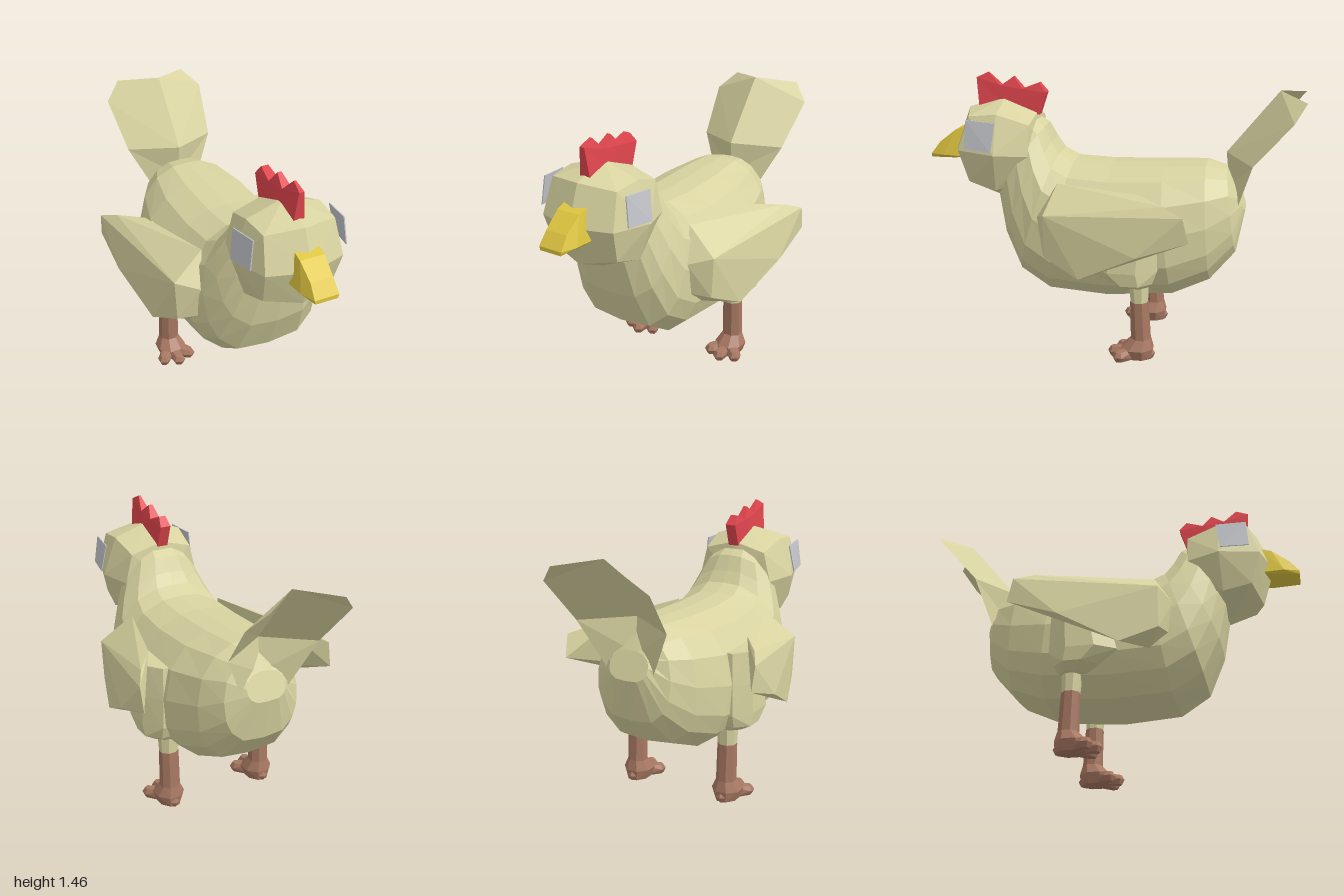
import * as THREE from 'three';
import { ConvexGeometry } from 'three/addons/geometries/ConvexGeometry.js';

const material = (name, color, side = THREE.FrontSide) => {
  const m = new THREE.MeshStandardMaterial({ color, side });
  m.name = name;
  return m;
};

export function createModel() {
  const plumage = material('plumage', 0xd8d3a0, THREE.DoubleSide);
  const red = material('combRed', 0xe2464e);
  const yellow = material('beakYellow', 0xdec53f);
  const brown = material('legBrown', 0xa87862);
  const gray = material('eyeGray', 0xc4c5ca);

  const model = new THREE.Group();
  model.name = 'hen';
  const add = (name, geometry, mat) => {
    const mesh = new THREE.Mesh(geometry, mat);
    mesh.name = name;
    model.add(mesh);
  };

  // Faceted solid around a few corner points, optionally mirrored in x
  const hull = (pts, s = 1) =>
    new ConvexGeometry(pts.map(([x, y, z]) => new THREE.Vector3(x * s, y, z)));
  const bothSides = (pts) => pts.flatMap(([x, y, z]) => (x ? [[x, y, z], [-x, y, z]] : [[x, y, z]]));
  const facets = (tris) => {
    const g = new THREE.BufferGeometry();
    g.setAttribute('position', new THREE.Float32BufferAttribute(tris.flat(2), 3));
    g.computeVertexNormals();
    return g;
  };
  const ring = (y, cx, cz, rx, rz, n = 8) =>
    Array.from({ length: n }, (_, i) => {
      const a = ((i + 0.5) / n) * Math.PI * 2;
      return [cx + Math.cos(a) * rx, y, cz + Math.sin(a) * rz];
    });

  // Body and neck: tilted rings, each [top z, top y, bottom z, bottom y, half width]
  const sections = [
    [-0.655, 0.92, -0.71, 0.78, 0.11],
    [-0.61, 1.0, -0.67, 0.56, 0.21],
    [-0.5, 1.03, -0.54, 0.41, 0.29],
    [-0.28, 1.02, -0.35, 0.33, 0.355],
    [0, 1.01, 0, 0.3, 0.36],
    [0.2, 1.02, 0.32, 0.32, 0.345],
    [0.28, 1.06, 0.48, 0.42, 0.325],
    [0.32, 1.12, 0.57, 0.62, 0.28],
    [0.36, 1.2, 0.61, 0.82, 0.225],
    [0.42, 1.24, 0.6, 0.92, 0.18],
  ];
  const half = [[0.3, 0.98], [0.64, 0.82], [0.9, 0.5], [1, 0.05], [0.97, -0.4], [0.84, -0.7], [0.54, -0.95]];
  const outline = [[0, 1], ...half, [0, -1], ...half.map(([x, y]) => [-x, y]).reverse()];
  const rings = sections.map(([tz, ty, bz, by, w]) =>
    outline.map(([px, py]) => {
      const t = (1 - py) / 2;
      return [px * w, ty + (by - ty) * t, tz + (bz - tz) * t];
    }));
  const skin = [];
  const n = outline.length;
  for (let i = 0; i < rings.length - 1; i++) {
    for (let j = 0; j < n; j++) {
      const k = (j + 1) % n;
      const [a, b, c, d] = [rings[i][j], rings[i][k], rings[i + 1][j], rings[i + 1][k]];
      skin.push([a, c, b], [b, c, d]);
    }
  }
  for (let j = 1; j < n - 1; j++) skin.push([rings[0][0], rings[0][j], rings[0][j + 1]]);
  add('body', facets(skin), plumage);

  // Head
  add('head', hull(bothSides([
    [0, 1.08, 0.865], [0, 1.28, 0.79], [0.19, 1.26, 0.74], [0.21, 1.08, 0.8],
    [0.19, 0.91, 0.75], [0, 0.87, 0.8],
    [0, 1.34, 0.59], [0.2, 1.275, 0.59], [0.275, 1.07, 0.59], [0.21, 0.87, 0.6], [0, 0.79, 0.62],
    [0, 1.27, 0.41], [0.18, 1.22, 0.42], [0.22, 1.06, 0.42], [0.16, 0.92, 0.45], [0, 0.83, 0.5],
    [0, 1.07, 0.38],
  ])), plumage);

  // Beak, hooked down at the tip
  add('beak', hull(bothSides([
    [0.065, 1.18, 0.8], [0.095, 1.02, 0.8], [0.065, 1.16, 0.86], [0.06, 1.09, 0.95],
    [0.092, 1.025, 0.92], [0.065, 1.025, 1], [0.06, 1.005, 1], [0.08, 1.01, 0.86],
  ])), yellow);

  // Comb: jagged plate, thinning towards its peaks
  const combShape = new THREE.Shape([
    [0.73, 1.28], [0.745, 1.44], [0.68, 1.47], [0.61, 1.4], [0.54, 1.45], [0.49, 1.385],
    [0.4, 1.42], [0.36, 1.37], [0.4, 1.25], [0.6, 1.3],
  ].map(([z, y]) => new THREE.Vector2(-z, y)));
  const comb = new THREE.ExtrudeGeometry(combShape, { depth: 0.06, bevelEnabled: false });
  comb.translate(0, 0, -0.03).rotateY(Math.PI / 2);
  const cp = comb.attributes.position;
  for (let i = 0; i < cp.count; i++) {
    cp.setX(i, cp.getX(i) * THREE.MathUtils.clamp((1.49 - cp.getY(i)) / 0.11, 0.15, 1));
  }
  comb.computeVertexNormals();
  add('comb', comb, red);

  // Tail: two folded sheets meeting in a V, tucked into the rump
  const tail = [];
  for (const s of [1, -1]) {
    const P = (x, y, z) => [x * s, y, z];
    const c0 = P(0, 0.9, -0.62), c1 = P(0, 1.08, -0.6), c2 = P(0, 1.41, -0.865);
    const o0 = P(0.13, 0.81, -0.67), o1 = P(0.255, 1.06, -0.745);
    const o2 = P(0.29, 1.29, -0.94), o3 = P(0.2, 1.38, -1);
    const tris = [[c0, o0, o1], [c0, o1, c1], [c1, o1, o2], [c1, o2, c2], [c2, o2, o3]];
    tail.push(...tris.map((t) => (s > 0 ? t : [...t].reverse())));
  }
  add('tail', facets(tail), plumage);

  // Paired parts
  for (const [side, s] of [['left', 1], ['right', -1]]) {
    add(`${side}Wing`, hull([
      [0.27, 0.94, 0.25], [0.32, 0.77, 0.35], [0.31, 0.6, 0.33], [0.33, 0.52, 0.23],
      [0.44, 0.81, 0.29], [0.43, 0.59, 0.29], [0.49, 0.5, 0.1], [0.555, 0.65, -0.2],
      [0.555, 0.865, -0.43], [0.55, 0.74, -0.46], [0.39, 0.93, -0.19], [0.5, 0.905, -0.33],
    ], s), plumage);

    // Eye plate, leaning outwards at its lower rear corner
    const eye = [[0.238, 1.25, 0.74], [0.258, 1.24, 0.58], [0.283, 1.09, 0.6], [0.256, 1.1, 0.75]];
    add(`${side}Eye`, hull([...eye, ...eye.map(([x, y, z]) => [x + 0.006, y, z])], s), gray);

    // Thigh, feathered cuff and shank
    add(`${side}Thigh`, hull([
      ...ring(0.42, 0.29, -0.17, 0.08, 0.075), ...ring(0.45, 0.31, -0.15, 0.12, 0.12),
      ...ring(0.52, 0.31, -0.11, 0.13, 0.19), ...ring(0.68, 0.31, -0.13, 0.12, 0.165),
      ...ring(0.85, 0.31, -0.15, 0.1, 0.13),
    ], s), plumage);
    add(`${side}Cuff`, hull([
      ...ring(0.44, 0.28, -0.18, 0.058, 0.055), ...ring(0.325, 0.28, -0.185, 0.052, 0.047),
    ], s), plumage);
    add(`${side}Shank`, hull([
      ...ring(0.326, 0.28, -0.185, 0.053, 0.05), ...ring(0.1, 0.28, -0.195, 0.055, 0.055),
    ], s), brown);
    add(`${side}Ankle`, hull([
      ...ring(0.12, 0.28, -0.195, 0.054, 0.055), ...ring(0.065, 0.28, -0.175, 0.085, 0.09),
      ...ring(0.01, 0.28, -0.175, 0.065, 0.085),
    ], s), brown);

    // Toes: [tip x, tip z], with a rounded knob at each end
    [[0.28, -0.055], [0.355, -0.09], [0.205, -0.09], [0.28, -0.235]].forEach(([tx, tz], i) => {
      add(`${side}Toe${i + 1}`, hull([
        ...ring(0.075, 0.28, -0.18, 0.03, 0.03, 6), ...ring(0.012, 0.28, -0.18, 0.03, 0.03, 6),
        ...ring(0.06, tx, tz, 0.022, 0.022, 6), ...ring(0.035, tx, tz, 0.037, 0.037, 6),
        ...ring(0.008, tx, tz, 0.024, 0.024, 6),
      ], s), brown);
    });
  }
  return model;
}
